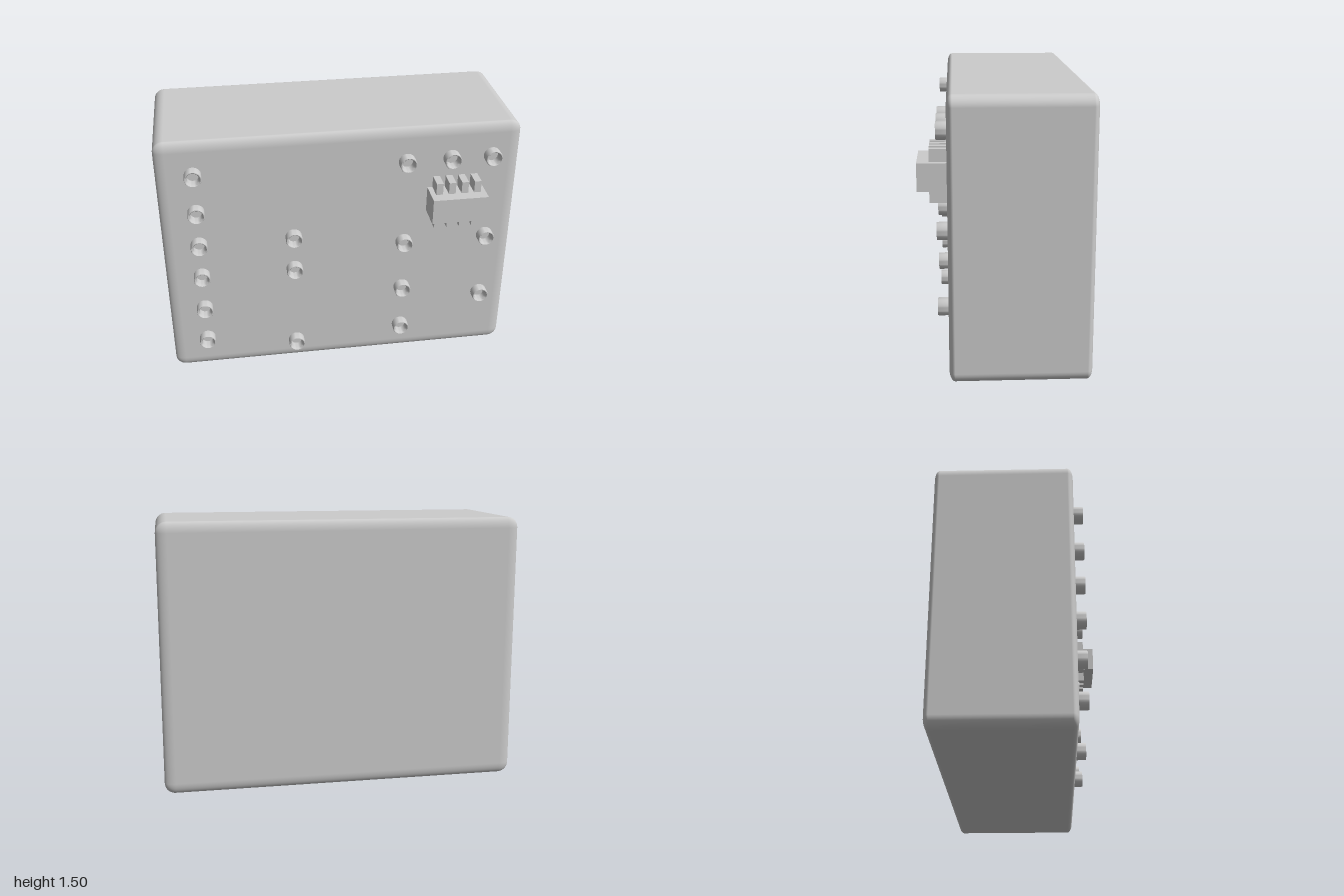
import * as THREE from 'three';
import { RoundedBoxGeometry } from 'three/addons/geometries/RoundedBoxGeometry.js';
import { toCreasedNormals } from 'three/addons/utils/BufferGeometryUtils.js';

const FACE_Z = 0.295; // front panel plane

export function createModel() {
  const model = new THREE.Group();
  model.name = 'electronicsBox';
  const grey = new THREE.MeshStandardMaterial({ color: 0xcccccc });

  const add = (parent, name, geometry, x, y, z) => {
    const mesh = new THREE.Mesh(geometry, grey);
    mesh.name = name;
    mesh.position.set(x, y, z);
    parent.add(mesh);
    return mesh;
  };

  // Housing: soft bevels, tighter towards the front and back
  const depth = 0.45 + FACE_Z;
  const housing = new RoundedBoxGeometry(2, 1.5, depth * 2, 6, 0.06).scale(1, 1, 0.5);
  add(model, 'housing', housing, 0, 0.75, FACE_Z - depth / 2);

  // Sockets: short hollow collars standing on the front panel
  const profile = [[0.047, -0.01], [0.047, 0.05], [0.045, 0.055], [0.041, 0.055], [0.036, 0.048], [0.033, 0.035], [0.033, -0.01]];
  const collar = toCreasedNormals(
    new THREE.LatheGeometry(profile.map(([r, h]) => new THREE.Vector2(r, h)), 32).rotateX(Math.PI / 2), 0.8);
  const sockets = new THREE.Group();
  sockets.name = 'sockets';
  model.add(sockets);
  const columns = [
    [-0.8, [1.305, 1.075, 0.865, 0.655, 0.43, 0.205]],
    [-0.27, [0.87, 0.655, 0.13]],
    [0.365, [1.3, 0.78, 0.46, 0.18]],
    [0.615, [1.305]],
    [0.845, [1.305, 0.785, 0.375]],
  ];
  for (const [x, heights] of columns) {
    for (const y of heights) add(sockets, 'socket', collar, x, y, FACE_Z);
  }

  // Chip: block with a row of four pins above and below
  const chip = new THREE.Group();
  chip.name = 'chip';
  chip.position.set(0.643, 1.053, FACE_Z);
  model.add(chip);
  add(chip, 'chipBody', new THREE.BoxGeometry(0.31, 0.148, 0.165), 0, 0, 0.0725);
  const pin = new THREE.BoxGeometry(0.038, 0.08, 0.1);
  for (const side of [-1, 1]) {
    for (let i = 0; i < 4; i++) {
      add(chip, 'chipPin', pin, (i - 1.5) * 0.0715, side * 0.102, 0.042);
    }
  }

  return model;
}
